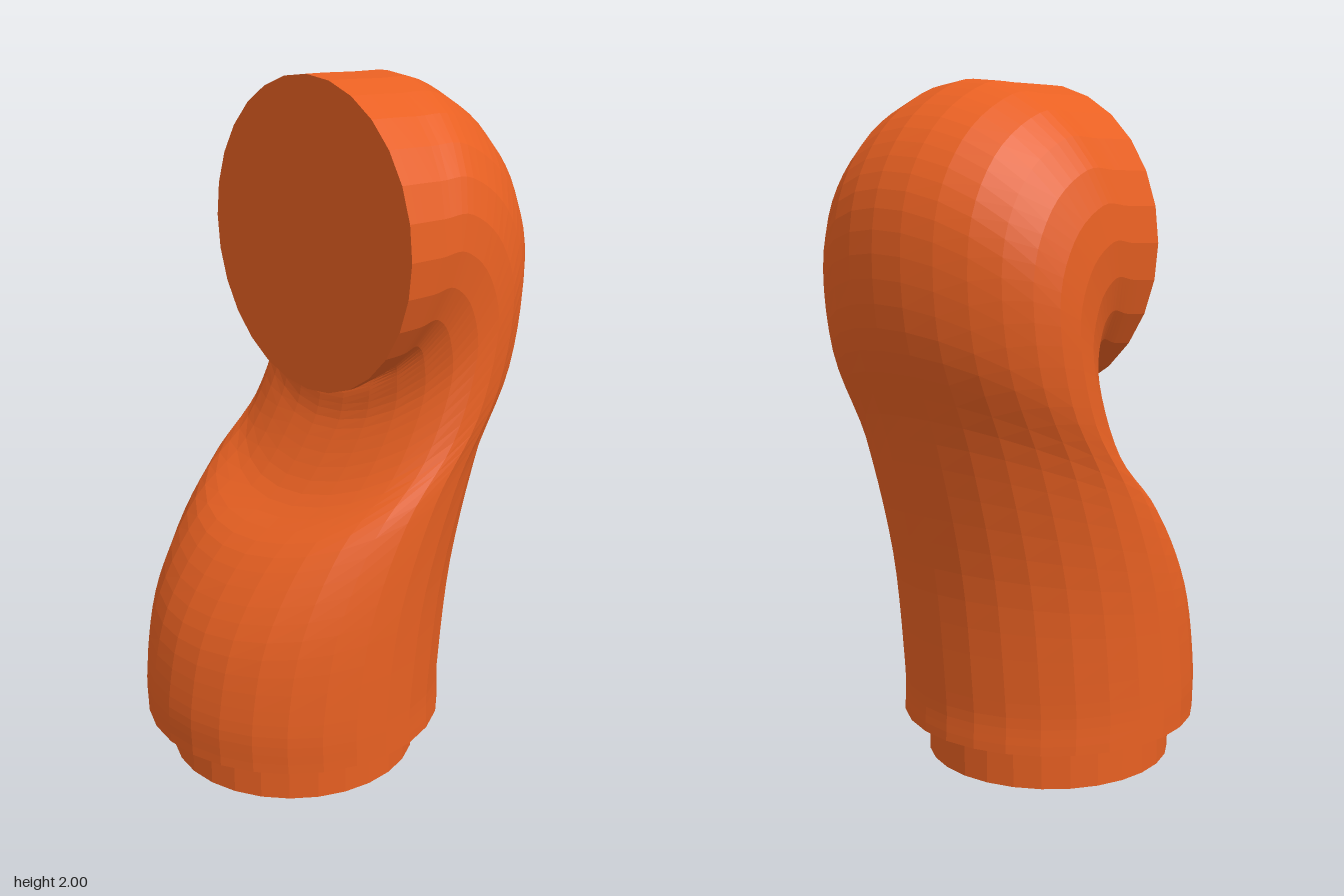
import * as THREE from 'three';

const SIDES = 28;
const RADIUS = 0.445;

// Sweep of a rigid circle: each station is (z, y, backward tilt of the ring)
const stations = [
  [0.13, 0.13, 0], [0.13, 0.28, 0], [0.083, 0.575, 0.17], [-0.035, 0.865, 0.378],
  [-0.188, 1.085, 0.607], [-0.253, 1.325, 0.82], [-0.215, 1.48, 1.017],
  [-0.125, 1.56, 1.28], [-0.035, 1.557, 1.425], [0.07, 1.555, Math.PI / 2],
];

function bentPipe(rings) {
  const path = new THREE.CatmullRomCurve3(
    stations.map((s) => new THREE.Vector3(...s)), false, 'catmullrom', 0.5);
  const pos = [];
  const index = [];
  for (let i = 0; i <= rings; i++) {
    const { x: cz, y: cy, z: tilt } = path.getPoint(i / rings);
    for (let j = 0; j < SIDES; j++) {
      const a = (j / SIDES) * Math.PI * 2;
      const f = RADIUS * Math.cos(a);
      pos.push(RADIUS * Math.sin(a), cy - f * Math.sin(tilt), cz + f * Math.cos(tilt));
    }
  }
  // Skin between neighbouring rings
  for (let i = 0; i < rings; i++) {
    for (let j = 0; j < SIDES; j++) {
      const k = (j + 1) % SIDES;
      const a = i * SIDES + j, b = i * SIDES + k;
      index.push(a, b, b + SIDES, a, b + SIDES, a + SIDES);
    }
  }
  // Flat end faces
  const last = rings * SIDES;
  for (let j = 1; j < SIDES - 1; j++) {
    index.push(0, j + 1, j);
    index.push(last, last + j, last + j + 1);
  }
  const geo = new THREE.BufferGeometry();
  geo.setAttribute('position', new THREE.Float32BufferAttribute(pos, 3));
  geo.setIndex(index);
  geo.computeVertexNormals();
  return geo;
}

export function createModel() {
  const group = new THREE.Group();
  const material = new THREE.MeshStandardMaterial({ color: 0xe86022, flatShading: true });

  // Curved body ending in a forward-facing disc
  const body = new THREE.Mesh(bentPipe(45), material);
  body.name = 'bentPipeBody';
  group.add(body);

  // Narrower plug below the body
  const plug = new THREE.Mesh(new THREE.CylinderGeometry(0.37, 0.37, 0.14, SIDES), material);
  plug.name = 'basePlug';
  plug.position.set(0, 0.07, 0.13);
  group.add(plug);

  return group;
}
